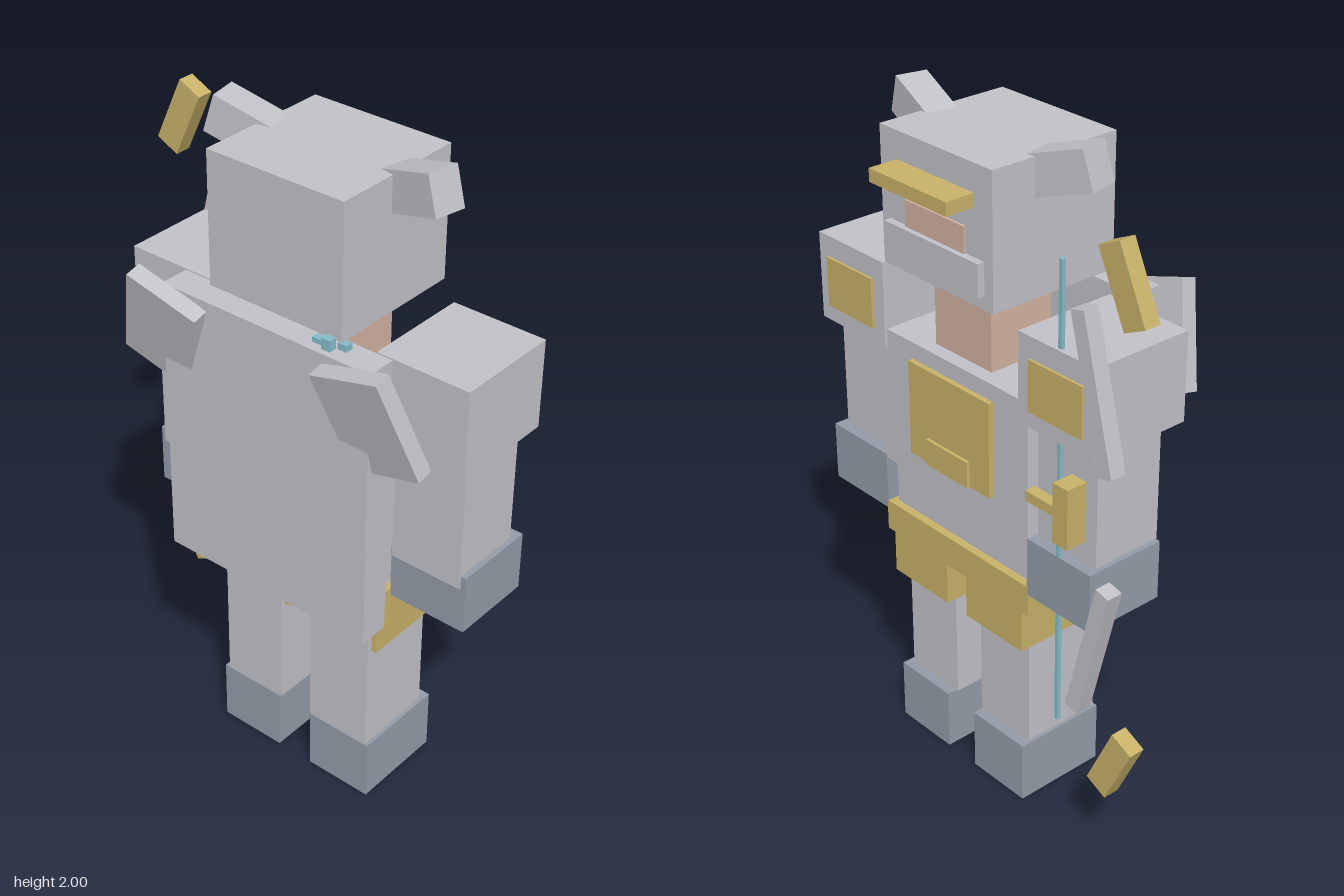
import * as THREE from 'three';

const MID = 0.083; // the figure's own centre line

function mat(name, color) {
  const m = new THREE.MeshStandardMaterial({ color });
  m.name = name;
  return m;
}

export function createModel() {
  const g = new THREE.Group();
  g.name = 'armouredArcher';
  const steel = mat('pale steel', 0xc1c1c8);
  const gold = mat('gold', 0xc8b169);
  const slate = mat('slate blue', 0x949ca8);
  const skin = mat('skin', 0xd2b3a1);
  const teal = mat('teal', 0x86bcc8);

  // axis-aligned block from its limits
  function block(name, m, x0, x1, y0, y1, z0, z1) {
    const b = new THREE.Mesh(new THREE.BoxGeometry(x1 - x0, y1 - y0, z1 - z0), m);
    b.position.set((x0 + x1) / 2, (y0 + y1) / 2, (z0 + z1) / 2);
    b.name = name;
    g.add(b);
    return b;
  }
  // the same block on both sides of the centre line
  function pair(name, m, x0, x1, ...yz) {
    block(name + 'Left', m, x0, x1, ...yz);
    block(name + 'Right', m, 2 * MID - x1, 2 * MID - x0, ...yz);
  }
  // turned block from its size, centre and rotation
  function turned(name, m, size, pos, rot, order = 'XYZ') {
    const b = new THREE.Mesh(new THREE.BoxGeometry(...size), m);
    b.position.set(...pos);
    b.rotation.set(...rot, order);
    b.name = name;
    g.add(b);
  }

  // head, helmet and face
  block('helmet', steel, -0.138, 0.302, 1.566, 1.952, -0.216, 0.203);
  block('head', skin, -0.093, 0.262, 1.54, 1.60, -0.172, 0.15);
  block('neck', skin, -0.03, 0.2, 1.32, 1.54, -0.13, 0.08);
  block('faceOpening', skin, -0.035, 0.2, 1.69, 1.775, -0.223, -0.214);
  block('chinGuard', steel, -0.105, 0.27, 1.605, 1.70, -0.238, -0.214);
  block('browGuard', gold, -0.07, 0.235, 1.835, 1.873, -0.307, -0.214);

  // horns
  for (const s of [-1, 1]) {
    turned(s > 0 ? 'hornLeft' : 'hornRight', steel, [0.19, 0.112, 0.093],
      [MID + s * 0.279, 1.923, -0.017], [0, -s * 0.2, s * 0.3]);
  }

  // torso, cape and belt
  block('chest', steel, -0.222, 0.388, 0.91, 1.33, -0.174, 0.16);
  block('abdomen', steel, -0.2, 0.366, 0.73, 0.91, -0.15, 0.155);
  block('chestPanel', gold, -0.085, 0.25, 0.99, 1.28, -0.19, -0.174);
  block('chestBadge', gold, -0.005, 0.17, 0.99, 1.07, -0.2, -0.19);
  block('belt', gold, -0.225, 0.388, 0.67, 0.765, -0.175, 0.155);
  block('cape', steel, -0.264, 0.429, 0.70, 1.547, 0.162, 0.252);
  for (const s of [-1, 1]) {
    turned(s > 0 ? 'capeFlapLeft' : 'capeFlapRight', steel, [0.233, 0.3, 0.05],
      [MID + s * 0.347, 1.407, 0.248], [0.24, 0, s * 0.3]);
  }

  // quiver and arrow ends
  block('quiver', slate, 0.30, 0.335, 1.32, 1.49, 0.12, 0.162);
  for (const [x, y, z] of [[0.235, 1.545, 0.21], [0.277, 1.565, 0.225], [0.307, 1.55, 0.197]]) {
    block('arrowEnd', teal, x - 0.014, x + 0.014, y - 0.016, y + 0.016, z - 0.012, z + 0.012);
  }

  // arms
  pair('shoulder', steel, 0.36, 0.645, 1.27, 1.532, -0.182, 0.138);
  pair('shoulderPanel', gold, 0.405, 0.605, 1.32, 1.47, -0.19, -0.182);
  pair('arm', steel, 0.39, 0.614, 0.88, 1.27, -0.138, 0.086);
  pair('glove', slate, 0.385, 0.63, 0.74, 0.92, -0.174, 0.082);

  // legs
  pair('tasset', gold, 0.125, 0.362, 0.535, 0.67, -0.172, 0.108);
  pair('leg', steel, 0.138, 0.346, 0.19, 0.68, -0.13, 0.124);
  pair('boot', slate, 0.143, 0.357, 0, 0.192, -0.164, 0.13);

  // bow: limbs and tips mirrored above and below the grip
  const bowY = 1.075;
  for (const s of [-1, 1]) {
    turned('bowLimb', steel, [0.048, 0.44, 0.05], [-0.474, bowY + s * 0.385, -0.168], [0, 0, -s * 0.25]);
    turned('bowTip', gold, [0.078, 0.217, 0.05], [-0.569, bowY + s * 0.709, -0.168], [0, 0, -s * 0.44]);
  }
  block('bowString', teal, -0.346, -0.334, 0.385, 1.775, -0.174, -0.162);
  block('bowGrip', gold, -0.408, -0.352, 0.985, 1.165, -0.205, -0.138);
  block('gripBar', gold, -0.352, -0.24, 1.06, 1.09, -0.2, -0.165);
  return g;
}
